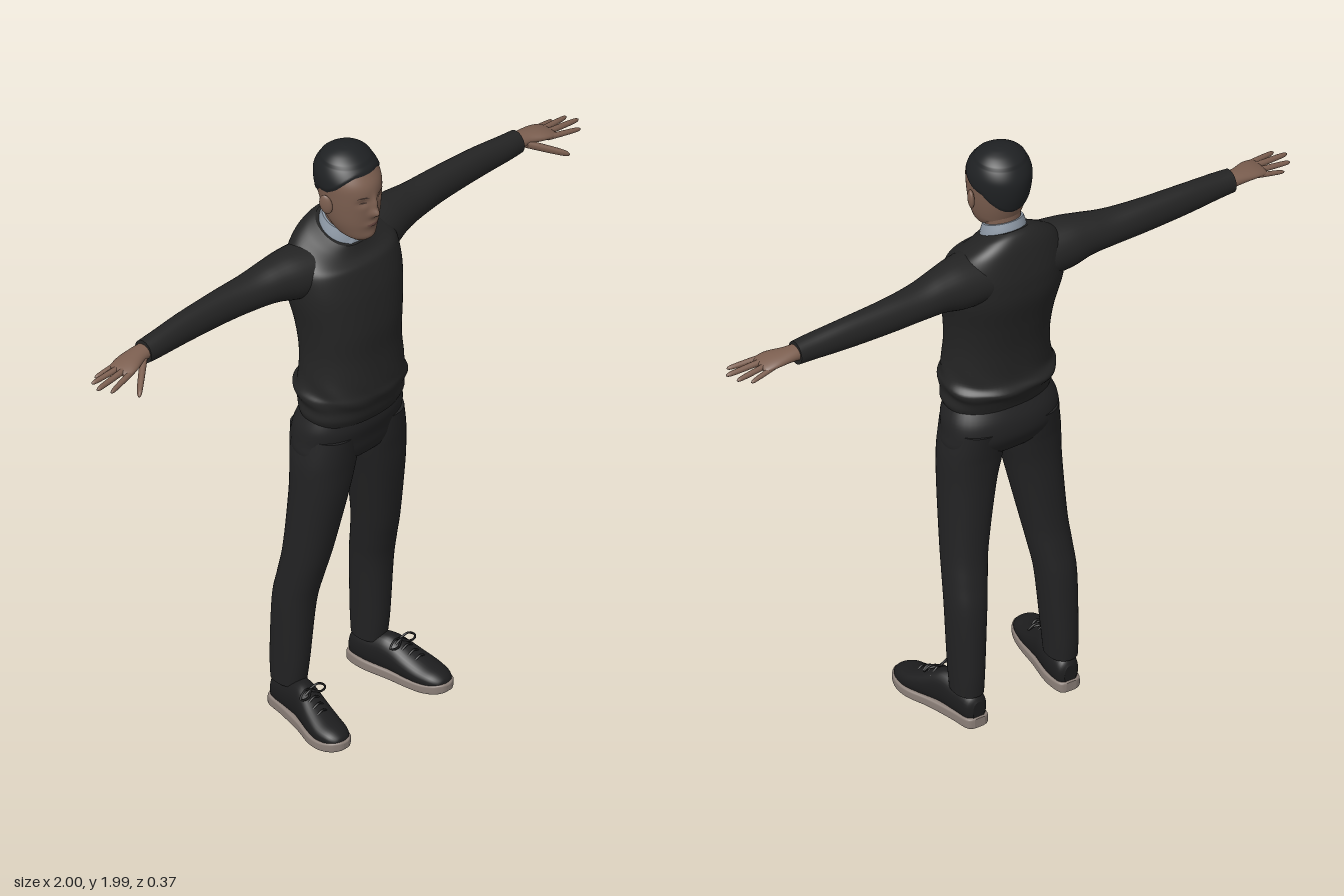
import * as THREE from 'three';

const mat = (name, color, side = THREE.FrontSide) => {
  const m = new THREE.MeshStandardMaterial({ color, side });
  m.name = name;
  return m;
};
const gauss = (v, c, r) => Math.exp(-(((v - c) / r) ** 2));

// Smoothly resample rows of numbers with a Catmull-Rom rule
function resample(rows, steps) {
  const out = [], last = rows.length - 1;
  for (let i = 0; i < last; i++) {
    const a = rows[Math.max(i - 1, 0)], b = rows[i], c = rows[i + 1], d = rows[Math.min(i + 2, last)];
    for (let k = 0; k < steps; k++) {
      const t = k / steps;
      out.push(b.map((v, j) => v + 0.5 * t * (c[j] - a[j] + t * (2 * a[j] - 5 * v + 4 * c[j] - d[j] + t * (3 * (v - c[j]) + d[j] - a[j])))));
    }
  }
  out.push(rows[last]);
  return out;
}

// Loft rings [t, centre a, centre b, radius a, radius b] along an axis; caps are flat
const MAP = { y: (t, a, b) => [a, t, b], x: (t, a, b) => [t, a, b], z: (t, a, b) => [a, b, t] };
function loft(rings, { axis = 'y', n = 32, steps = 5, power = 2, side = 1, deform = null } = {}) {
  const rows = resample(rings, steps), pos = [], idx = [];
  const ring = (r) => {
    for (let i = 0; i < n; i++) {
      const th = (i / n) * Math.PI * 2, c = Math.cos(th), s = Math.sin(th), e = 2 / power;
      const p = new THREE.Vector3(...MAP[axis](r[0],
        r[1] + r[3] * Math.sign(c) * Math.abs(c) ** e, r[2] + r[4] * Math.sign(s) * Math.abs(s) ** e));
      if (deform) deform(p, r);
      pos.push(p.x * side, p.y, p.z);
    }
  };
  rows.forEach(ring);
  for (let j = 0; j < rows.length - 1; j++) for (let i = 0; i < n; i++) {
    const a = j * n + i, b = j * n + (i + 1) % n;
    idx.push(a, a + n, b, b, a + n, b + n);
  }
  for (const end of [0, rows.length - 1]) {
    const base = pos.length / 3;
    ring(rows[end]);
    const mid = [0, 0, 0];
    for (let i = 0; i < n; i++) for (let k = 0; k < 3; k++) mid[k] += pos[(base + i) * 3 + k] / n;
    pos.push(...mid);
    for (let i = 0; i < n; i++) {
      const a = base + i, b = base + (i + 1) % n;
      idx.push(...(end ? [base + n, b, a] : [base + n, a, b]));
    }
  }
  // Turn all faces outward by the sign of the enclosed volume
  const v = (i) => new THREE.Vector3().fromArray(pos, i * 3);
  let volume = 0;
  for (let i = 0; i < idx.length; i += 3) volume += v(idx[i]).dot(v(idx[i + 1]).cross(v(idx[i + 2])));
  if (volume < 0) for (let i = 0; i < idx.length; i += 3) [idx[i], idx[i + 1]] = [idx[i + 1], idx[i]];
  const g = new THREE.BufferGeometry();
  g.setAttribute('position', new THREE.Float32BufferAttribute(pos, 3));
  g.setIndex(idx);
  g.computeVertexNormals();
  return g;
}
// Body ring from height, half width, front z, back z and optional centre x
const body = ([y, w, f, b, x = 0]) => [y, x, (f + b) / 2, w, (f - b) / 2];

export function createModel() {
  const model = new THREE.Group();
  const sweaterMat = mat('sweater black', 0x242424), pantsMat = mat('trouser black', 0x222223);
  const hairMat = mat('hair black', 0x1f2123), skinMat = mat('skin brown', 0x7c5f50);
  const shirtMat = mat('shirt pale blue', 0x8d98a5, THREE.DoubleSide), lipMat = mat('lip brown', 0x694841, THREE.DoubleSide);
  const shoeMat = mat('shoe black', 0x1d1d1e), soleMat = mat('sole grey', 0x8b7f78);
  const browMat = mat('brow brown', 0x3f302a, THREE.DoubleSide);
  const add = (name, geometry, material, parent = model) => {
    const m = new THREE.Mesh(geometry, material);
    m.name = name;
    parent.add(m);
    return m;
  };

  // Head with sculpted nose, eye sockets, lips and chin
  const headRings = [
    [1.694, 0.03, 0.06, 0], [1.71, 0.05, 0.073, -0.05], [1.74, 0.066, 0.079, -0.085], [1.77, 0.076, 0.083, -0.1],
    [1.81, 0.084, 0.086, -0.115], [1.85, 0.089, 0.088, -0.126], [1.89, 0.092, 0.084, -0.13], [1.92, 0.088, 0.068, -0.125],
    [1.95, 0.074, 0.042, -0.107], [1.97, 0.053, 0.014, -0.082], [1.981, 0.028, -0.01, -0.056], [1.985, 0.003, -0.03, -0.036],
  ].map(body);
  const bump = (x, y) =>
    0.021 * gauss(x, 0, 0.014) * gauss(y, 1.803, 0.015) + 0.012 * gauss(x, 0, 0.01) * gauss(y, 1.833, 0.025)
    - 0.008 * gauss(Math.abs(x), 0.034, 0.017) * gauss(y, 1.845, 0.012)
    + 0.006 * gauss(x, 0, 0.024) * gauss(y, 1.761, 0.011) + 0.004 * gauss(x, 0, 0.025) * gauss(y, 1.715, 0.014);
  const sculpt = (p, r) => { if (p.z > r[2]) p.z += bump(p.x, p.y) * Math.min(1, (p.z - r[2]) / 0.04); };
  add('head', loft(headRings, { n: 112, steps: 7, deform: sculpt }), skinMat);

  // Close-cropped hair emerging from the scalp along the hairline
  const line = [[-0.14, 1.775], [-0.11, 1.795], [-0.09, 1.825], [-0.06, 1.858], [-0.02, 1.865], [0.015, 1.888], [0.05, 1.926], [0.12, 1.94]];
  const hairline = (z) => {
    const i = Math.max(1, line.findIndex((q) => q[0] > z)), [a, b] = [line[i - 1], line[i]];
    return THREE.MathUtils.lerp(a[1], b[1], (z - a[0]) / (b[0] - a[0]));
  };
  add('hair', loft(headRings, { n: 112, steps: 7, deform: (p, r) => {
    const k = THREE.MathUtils.clamp((p.y - hairline(p.z)) * 0.4, -0.012, 0.005);
    const l = Math.hypot(p.x, p.z - r[2]) || 1;
    p.x *= 1 + k / l;
    p.z += ((p.z - r[2]) / l) * k;
    if (p.y > 1.95) p.y += 0.003;
  } }), hairMat);

  // Thin lens-shaped plates laid on the face
  const rows = resample(headRings, 8);
  const faceZ = (x, y) => {
    const i = rows.findIndex((r) => r[0] > y), a = rows[i - 1], b = rows[i], t = (y - a[0]) / (b[0] - a[0]);
    const [, , c, w, d] = a.map((v, k) => THREE.MathUtils.lerp(v, b[k], t));
    return c + d * Math.sqrt(1 - (x / w) ** 2) + bump(x, y);
  };
  const facePatch = (name, cx, cy, w, h, arch, material) => {
    const g = new THREE.PlaneGeometry(2, 2, 16, 4), p = g.attributes.position;
    for (let i = 0; i < p.count; i++) {
      const u = p.getX(i), x = cx + u * w, y = cy + (1 - u * u) * (p.getY(i) * h + arch);
      p.setXYZ(i, x, y, faceZ(x, y) + 0.0015);
    }
    g.computeVertexNormals();
    add(name, g, material);
  };
  facePatch('lips', 0, 1.761, 0.024, 0.006, 0, lipMat);
  for (const s of [-1, 1]) {
    facePatch('eyebrow', s * 0.036, 1.862, 0.018, 0.003, 0.003, browMat);
    facePatch('eye', s * 0.034, 1.844, 0.013, 0.003, 0, browMat);
    const ear = add('ear', new THREE.SphereGeometry(1, 20, 16), skinMat);
    ear.scale.set(0.01, 0.034, 0.021);
    ear.position.set(s * 0.095, 1.824, -0.02);
    ear.rotation.set(-0.15, s * -0.35, s * -0.12);
  }

  // Neck and shirt collar
  add('neck', loft([[1.64, 0.056, 0.008, -0.1], [1.7, 0.055, 0.008, -0.1], [1.79, 0.056, 0.02, -0.1]].map(body)), skinMat);
  add('shirtCollar', loft([[1.675, 0.074, 0.022, -0.119], [1.705, 0.07, 0.018, -0.115], [1.733, 0.062, 0.012, -0.107]].map(body),
    { deform: (p) => { p.y -= 0.42 * (p.z + 0.05); } }), shirtMat);
  for (const s of [-1, 1]) {
    const flap = new THREE.Shape([[0.002, 0.02], [0.05, 0.03], [0.03, -0.022]].map(([x, y]) => new THREE.Vector2(x * s, y)));
    const m = add('collarPoint', new THREE.ExtrudeGeometry(flap, { depth: 0.003, bevelEnabled: false }), shirtMat);
    m.position.set(0, 1.682, 0.022);
    m.rotation.set(-0.3, s * 0.45, 0);
  }

  // Sweater body with a gathered waist and a neckline higher at the back
  const sweater = [
    [1.075, 0.168, 0.098, -0.118], [1.1, 0.178, 0.108, -0.125], [1.13, 0.175, 0.114, -0.138], [1.165, 0.184, 0.124, -0.158],
    [1.2, 0.172, 0.12, -0.138], [1.3, 0.164, 0.112, -0.14], [1.4, 0.172, 0.112, -0.157], [1.5, 0.19, 0.1, -0.18],
    [1.56, 0.194, 0.086, -0.183], [1.61, 0.188, 0.068, -0.178], [1.65, 0.163, 0.046, -0.163], [1.68, 0.115, 0.032, -0.142],
    [1.698, 0.078, 0.025, -0.122],
  ].map(body);
  add('sweaterBody', loft(sweater, { n: 64, steps: 8, power: 2.3, deform: (p) => {
    const a = Math.atan2(p.x, p.z);
    const fold = 1 + 0.018 * gauss(p.y, 1.17, 0.05) * Math.sin(a * 7 + p.y * 60);
    p.x *= fold;
    p.z *= fold;
    p.y -= 0.48 * (p.z + 0.05) * THREE.MathUtils.smoothstep(p.y, 1.6, 1.695);
  } }), sweaterMat);

  // Seat of the trousers
  add('trouserSeat', loft([[0.9, 0.08, 0.02, -0.07], [0.925, 0.17, 0.058, -0.105], [0.96, 0.194, 0.074, -0.13],
    [1, 0.192, 0.082, -0.145], [1.05, 0.186, 0.094, -0.14], [1.1, 0.165, 0.09, -0.115]].map(body), { n: 48, power: 2.3 }), pantsMat);

  for (const s of [-1, 1]) {
    const label = s > 0 ? 'left' : 'right';
    // Sleeve
    add(label + 'Sleeve', loft([[0.1, 1.585, -0.07, 0.082, 0.095], [0.19, 1.588, -0.08, 0.08, 0.082], [0.26, 1.593, -0.088, 0.067, 0.068],
      [0.34, 1.59, -0.096, 0.058, 0.057], [0.45, 1.589, -0.103, 0.055, 0.047], [0.6, 1.588, -0.104, 0.05, 0.04],
      [0.72, 1.586, -0.1, 0.042, 0.037], [0.775, 1.585, -0.1, 0.038, 0.035]], { axis: 'x', side: s }), sweaterMat);

    // Hand: palm, four fingers and a thumb
    const hand = new THREE.Group();
    hand.name = label + 'Hand';
    model.add(hand);
    add('palm', loft([[0.75, 1.586, -0.1, 0.026, 0.028], [0.8, 1.588, -0.098, 0.021, 0.032], [0.85, 1.585, -0.089, 0.017, 0.042],
      [0.885, 1.579, -0.085, 0.012, 0.041], [0.896, 1.577, -0.085, 0.005, 0.034]], { axis: 'x', side: s }), skinMat, hand);
    const finger = (name, from, to, r) => {
      const ring = (t, k) => [...from.map((v, i) => THREE.MathUtils.lerp(v, to[i], t)), r * k, r * k];
      add(name, loft([ring(0, 1.05), ring(0.4, 1), ring(0.8, 0.85), ring(0.94, 0.6), ring(1, 0.1)], { axis: 'x', n: 14, side: s, steps: 4 }), skinMat, hand);
    };
    finger('littleFinger', [0.86, 1.579, -0.117], [0.95, 1.563, -0.127], 0.008);
    finger('ringFinger', [0.87, 1.58, -0.097], [0.986, 1.57, -0.104], 0.009);
    finger('middleFinger', [0.87, 1.582, -0.076], [1, 1.572, -0.067], 0.0095);
    finger('indexFinger', [0.86, 1.58, -0.056], [0.975, 1.567, -0.033], 0.009);
    finger('thumb', [0.79, 1.58, -0.082], [0.895, 1.532, 0.003], 0.014);

    // Trouser leg
    add(label + 'TrouserLeg', loft([[1.02, 0.085, 0.08, -0.135, 0.098], [0.95, 0.097, 0.075, -0.124, 0.1], [0.9, 0.098, 0.07, -0.118, 0.104],
      [0.8, 0.087, 0.06, -0.115, 0.117], [0.6, 0.07, 0.026, -0.125, 0.14], [0.5, 0.065, 0.002, -0.14, 0.151],
      [0.4, 0.06, -0.018, -0.157, 0.16], [0.2, 0.05, -0.033, -0.166, 0.166], [0.11, 0.046, -0.045, -0.163, 0.167]].map(body),
    { n: 40, power: 2.2, side: s }), pantsMat);

    // Shoe: upper, sole and laces
    const shoe = new THREE.Group();
    shoe.name = label + 'Shoe';
    model.add(shoe);
    const foot = ([z, x, w, lo, hi]) => [z, x, (lo + hi) / 2, w, (hi - lo) / 2];
    add('shoeUpper', loft([[-0.163, 0.163, 0.02, 0.02, 0.09], [-0.145, 0.164, 0.038, 0.012, 0.112], [-0.09, 0.168, 0.044, 0.01, 0.125],
      [-0.035, 0.177, 0.045, 0.01, 0.136], [0, 0.186, 0.047, 0.01, 0.128], [0.05, 0.198, 0.053, 0.01, 0.103], [0.1, 0.208, 0.054, 0.01, 0.082],
      [0.145, 0.212, 0.045, 0.015, 0.07], [0.17, 0.213, 0.028, 0.02, 0.056], [0.178, 0.213, 0.008, 0.028, 0.044]].map(foot),
    { axis: 'z', power: 2.2, side: s }), shoeMat, shoe);
    add('shoeSole', loft([[-0.17, 0.163, 0.018, 0.004, 0.036], [-0.155, 0.164, 0.038, 0, 0.038], [-0.09, 0.168, 0.047, 0, 0.037],
      [0, 0.187, 0.05, 0, 0.035], [0.07, 0.204, 0.058, 0, 0.034], [0.12, 0.211, 0.056, 0.002, 0.036], [0.16, 0.213, 0.043, 0.008, 0.042],
      [0.18, 0.213, 0.022, 0.014, 0.043], [0.185, 0.213, 0.008, 0.02, 0.038]].map(foot),
    { axis: 'z', n: 48, power: 6, side: s }), soleMat, shoe);
    const tube = (name, pts) => add(name, new THREE.TubeGeometry(new THREE.CatmullRomCurve3(
      pts.map(([x, y, z]) => new THREE.Vector3(x * s, y, z))), 16, 0.0035, 6), shoeMat, shoe);
    for (let i = 0; i < 4; i++) {
      const z = 0.005 + i * 0.022, x = 0.188 + i * 0.005, y = 0.128 - i * 0.011;
      tube('lace', [[x - 0.034, y - 0.022, z], [x, y + 0.002, z + 0.005], [x + 0.034, y - 0.022, z]]);
    }
    for (const d of [-1, 1]) tube('laceBow', [[0.187, 0.131, 0.005], [0.187 + d * 0.03, 0.14, 0.012],
      [0.187 + d * 0.052, 0.122, 0.018], [0.187 + d * 0.028, 0.12, 0.026], [0.188, 0.128, 0.01]]);
  }
  return model;
}
